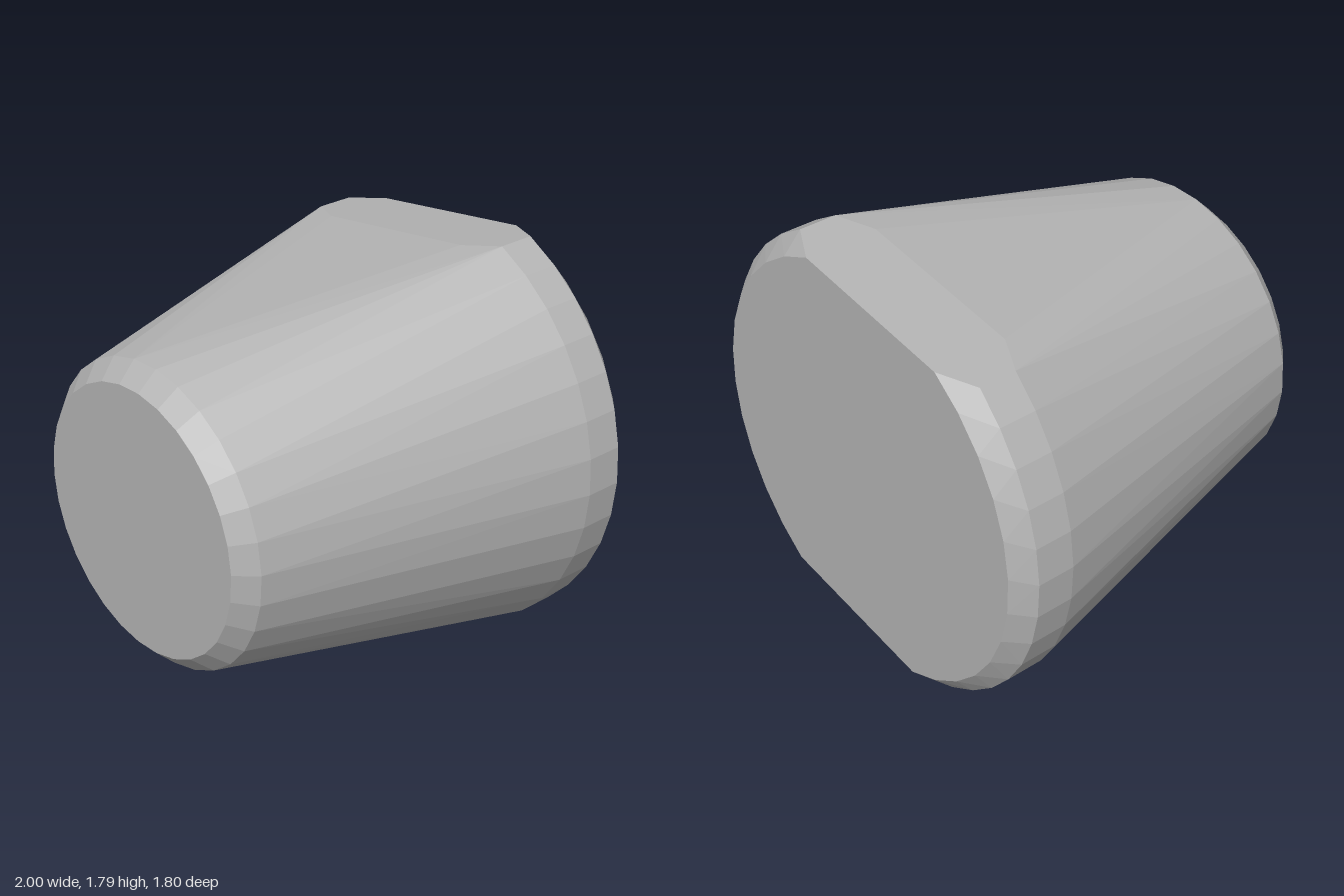
import * as THREE from 'three';
import { ConvexGeometry } from 'three/addons/geometries/ConvexGeometry.js';

const CENTER_Y = 0.897;
const TILT = THREE.MathUtils.degToRad(7.8); // roll of the two flats
const FLAT = 0.828; // distance of each flat from the axis

// Full ring around the z axis
function ring(radius, z, segments = 30, offset = THREE.MathUtils.degToRad(2.2)) {
  return Array.from({ length: segments }, (_, i) => {
    const a = offset + (i / segments) * Math.PI * 2;
    return new THREE.Vector3(radius * Math.cos(a), CENTER_Y + radius * Math.sin(a), z);
  });
}

// Ring cut by two parallel flats: two opposite arcs of twelve segments
function cutRing(radius, z) {
  const points = [];
  const half = Math.PI / 2 - Math.acos(FLAT / radius);
  for (const side of [0, Math.PI]) {
    for (let i = 0; i <= 12; i++) {
      const a = TILT + side - half + (2 * half * i) / 12;
      points.push(new THREE.Vector3(radius * Math.cos(a), CENTER_Y + radius * Math.sin(a), z));
    }
  }
  return points;
}

export function createModel() {
  const group = new THREE.Group();
  group.name = 'taperedKnob';

  const grey = new THREE.MeshStandardMaterial({ color: 0xb4b4b4 });
  grey.name = 'light grey';
  grey.flatShading = true;

  // Chamfered round front lofted to a chamfered, double-flatted back
  const body = new THREE.Mesh(
    new ConvexGeometry([
      ...ring(0.585, 0.9),
      ...ring(0.665, 0.817),
      ...cutRing(0.92, -0.57),
      ...cutRing(1, -0.65),
      ...cutRing(1, -0.817),
      ...cutRing(0.92, -0.9),
    ]),
    grey
  );
  body.name = 'taperedBody';
  group.add(body);
  return group;
}
